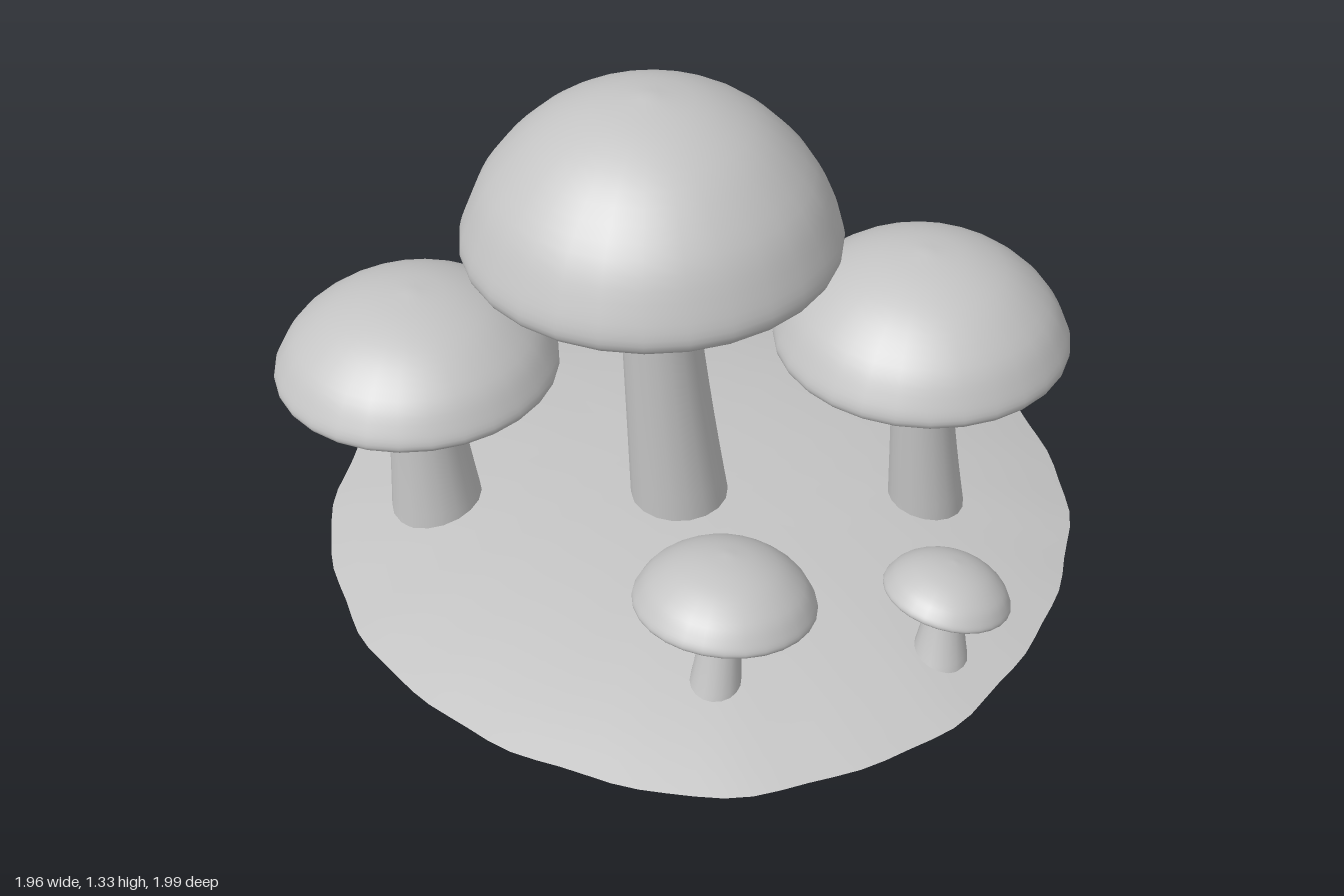
import * as THREE from 'three';
import { mergeVertices } from 'three/addons/utils/BufferGeometryUtils.js';

const grey = new THREE.MeshStandardMaterial({ color: 0xc4c4c4 });
grey.name = 'clay grey';

const rad = THREE.MathUtils.degToRad;
const lerp = THREE.MathUtils.lerp;
const vec = ([x, y]) => new THREE.Vector2(x, y);

// Outline radius of the mound every 30 degrees, from +x towards +z
const outline = [0.965, 1.0, 1.02, 0.98, 0.975, 0.98, 0.99, 1.0, 0.985, 1.0, 1.005, 0.98];
function moundRadius(angle) {
  const t = ((angle / (2 * Math.PI) + 1) % 1) * 12;
  const i = Math.floor(t), f = t - i;
  const s = f * f * (3 - 2 * f);
  return lerp(outline[i % 12], outline[(i + 1) % 12], s) + 0.007 * Math.sin(angle * 17) * Math.sin(angle * 5);
}
const moundHeight = (rho) => 0.13 * (1 - Math.pow(Math.min(rho, 1), 2.4));

function mesh(geometry, name) {
  const m = new THREE.Mesh(geometry, grey);
  m.name = name;
  return m;
}

// Merge seams so the whole surface is smooth
function smooth(geometry) {
  geometry.deleteAttribute('uv');
  geometry.deleteAttribute('normal');
  const g = mergeVertices(geometry, 1e-5);
  g.computeVertexNormals();
  return g;
}

// Revolved sheet stretched to the mound outline
function moundSheet(points) {
  const g = new THREE.LatheGeometry(points, 96);
  const p = g.attributes.position;
  for (let i = 0; i < p.count; i++) {
    const x = p.getX(i), z = p.getZ(i);
    const k = moundRadius(Math.atan2(z, x));
    p.setXYZ(i, x * k, p.getY(i), z * k);
  }
  return smooth(g);
}

// Cap profile in unit radius and unit height: hollow underside, rolled rim, dome
const capProfile = new THREE.SplineCurve([
  [0, 0.24], [0.25, 0.22], [0.55, 0.19], [0.8, 0.06], [0.94, 0], [1, 0.08], [0.96, 0.25],
  [0.84, 0.51], [0.6, 0.78], [0.31, 0.94], [0, 1],
].map(vec)).getPoints(40);

function makeCap({ r, h, at, tilt = [0, 0] }) {
  const pts = capProfile.map((p) => new THREE.Vector2(Math.max(p.x, 0) * r, p.y * h));
  pts[0].x = pts[pts.length - 1].x = 0;
  const cap = mesh(smooth(new THREE.LatheGeometry(pts, 28)), 'cap');
  cap.position.set(...at);
  cap.rotation.set(rad(tilt[0]), 0, rad(tilt[1]));
  return cap;
}

// Leaning stem, flared at the foot
function makeStem({ h, at, foot, stem }) {
  const g = new THREE.CylinderGeometry(1, 1, 1, 18, 10, true);
  const p = g.attributes.position;
  const y0 = moundHeight(Math.hypot(...foot)) - 0.02;
  const y1 = at[1] + h * 0.3;
  for (let i = 0; i < p.count; i++) {
    const t = p.getY(i) + 0.5;
    const bend = Math.pow(1 - t, 1.3);
    const r = lerp(stem[0], stem[1], Math.pow(1 - t, 1.5));
    p.setXYZ(i,
      lerp(at[0], foot[0], bend) + p.getX(i) * r,
      lerp(y0, y1, t),
      lerp(at[2], foot[1], bend) + p.getZ(i) * r);
  }
  return mesh(smooth(g), 'stem');
}

// r, h: cap size; at: centre of cap underside; foot: x, z on the mound;
// stem: top and foot radius; tilt: degrees about x and z
const mushrooms = [
  { name: 'tallMushroom', r: 0.46, h: 0.415, at: [-0.055, 0.915, 0.15], foot: [-0.015, 0.09], stem: [0.088, 0.128] },
  { name: 'backRightMushroom', r: 0.367, h: 0.27, at: [0.525, 0.617, -0.17], foot: [0.55, -0.225], stem: [0.07, 0.1] },
  { name: 'frontLeftMushroom', r: 0.358, h: 0.235, at: [-0.615, 0.505, 0.365], foot: [-0.6, 0.35], stem: [0.083, 0.122] },
  { name: 'frontRightMushroom', r: 0.22, h: 0.145, at: [0.355, 0.275, 0.575], foot: [0.355, 0.625], stem: [0.042, 0.065], tilt: [-9, 0] },
  { name: 'backLeftMushroom', r: 0.262, h: 0.135, at: [-0.52, 0.345, -0.58], foot: [-0.43, -0.58], stem: [0.05, 0.08], tilt: [0, 11] },
  { name: 'smallRightMushroom', r: 0.158, h: 0.1, at: [0.78, 0.195, 0.225], foot: [0.785, 0.255], stem: [0.04, 0.07], tilt: [-12, -6] },
  { name: 'smallLeftMushroom', r: 0.138, h: 0.075, at: [-0.8, 0.16, -0.12], foot: [-0.825, -0.12], stem: [0.035, 0.065], tilt: [0, 2] },
];

export function createModel() {
  const model = new THREE.Group();
  model.name = 'mushroomPatch';

  // Ground mound: domed top and flat underside
  const top = [];
  for (let i = 0; i <= 16; i++) {
    const rho = 1 - i / 16;
    top.push(new THREE.Vector2(rho, moundHeight(rho)));
  }
  const mound = new THREE.Group();
  mound.name = 'mound';
  mound.add(mesh(moundSheet(top), 'moundTop'));
  mound.add(mesh(moundSheet([vec([0, 0]), vec([0.5, 0]), vec([1, 0])]), 'moundUnderside'));
  model.add(mound);

  for (const spec of mushrooms) {
    const group = new THREE.Group();
    group.name = spec.name;
    group.add(makeStem(spec), makeCap(spec));
    model.add(group);
  }
  return model;
}
